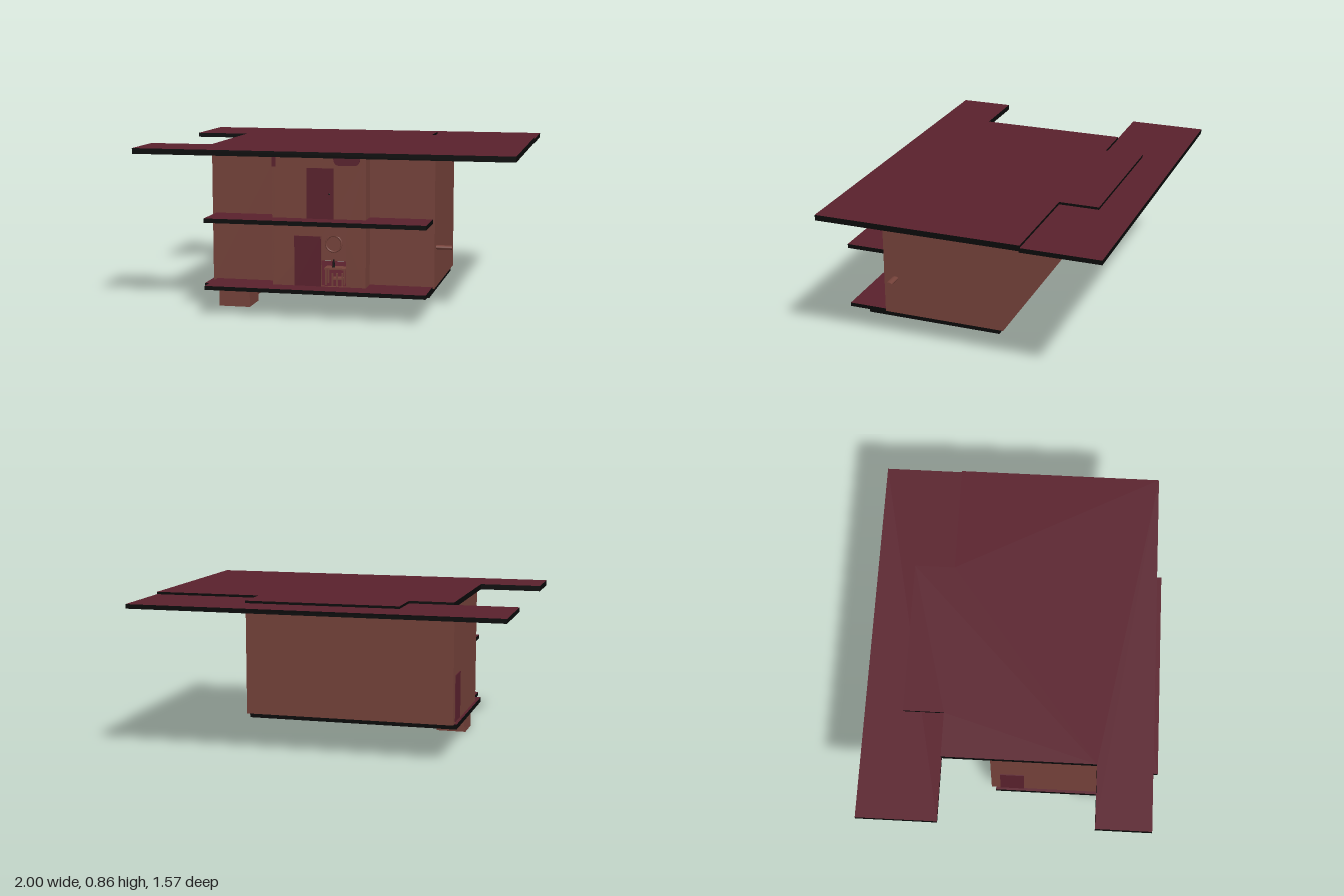
import * as THREE from 'three';

const mat = (name, color) => {
  const m = new THREE.MeshStandardMaterial({ color });
  m.name = name;
  return m;
};

export function createModel() {
  const house = new THREE.Group();
  house.name = 'house';
  const wall = mat('brown wall', 0x75423a);
  const maroon = mat('maroon', 0x5a212d);
  const black = mat('black trim', 0x0a0a0a);
  const slabMats = [black, black, maroon, maroon, black, black];

  const add = (name, geo, material, parent = house) => {
    const m = new THREE.Mesh(geo, material);
    m.name = name;
    parent.add(m);
    return m;
  };
  // Box given by its limits
  const box = (name, [x0, x1], [y0, y1], [z0, z1], material, parent) => {
    const m = add(name, new THREE.BoxGeometry(x1 - x0, y1 - y0, z1 - z0), material, parent);
    m.position.set((x0 + x1) / 2, (y0 + y1) / 2, (z0 + z1) / 2);
    return m;
  };
  const shapeOf = (pts) => new THREE.Shape(pts.map(([x, y]) => new THREE.Vector2(x, y)));

  // Flat roof: notched upper slab over a lower rear slab
  const roofShape = shapeOf([[-1, 0.44], [-0.66, 0.44], [-0.66, -0.37], [-0.42, -0.37], [-0.42, -0.585],
    [0.41, -0.585], [0.41, -0.37], [1, -0.37], [1, 0.73], [-1, 0.73]]);
  const roofGeo = new THREE.ExtrudeGeometry(roofShape, { depth: 0.03, bevelEnabled: false });
  roofGeo.rotateX(Math.PI / 2).translate(0, 0.86, 0);
  add('upperRoof', roofGeo, [maroon, black]);
  box('rearRoof', [-1, 1], [0.823, 0.847], [-0.785, -0.365], slabMats);

  // Floor, porch and balcony slabs
  box('baseSlab', [-0.63, 0.565], [0.12, 0.148], [-0.095, 0.67], slabMats);
  box('porch', [-0.595, 0.565], [0.135, 0.156], [0.565, 0.785], slabMats);
  box('balcony', [-0.595, 0.565], [0.487, 0.51], [0.565, 0.785], slabMats);
  box('upperFloor', [-0.6, 0.56], [0.487, 0.505], [-0.11, 0.565], slabMats);
  box('balconyBracket', [-0.265, -0.115], [0.472, 0.487], [0.66, 0.685], black);

  // Thin outer walls
  const t = 0.012, H = [0.147, 0.83];
  const walls = new THREE.Group();
  walls.name = 'walls';
  house.add(walls);
  box('backWall', [-0.615, 0.575], H, [-0.12, -0.12 + t], wall, walls);
  box('leftWall', [0.575 - t, 0.575], H, [-0.12, 0.567], wall, walls);
  box('rightWall', [-0.615, -0.615 + t], H, [-0.12, 0.567], wall, walls);
  box('frontWallRight', [-0.615, -0.26], H, [0.567 - t, 0.567], wall, walls);
  box('frontWallLeft', [0.235, 0.575], H, [0.567 - t, 0.567], wall, walls);

  // Entrance bay with a doorway opening on the ground floor
  box('baySideRight', [-0.26, -0.26 + t], H, [0.555, 0.67], wall, walls);
  box('baySideLeft', [0.235 - t, 0.235], H, [0.555, 0.67], wall, walls);
  const bay = shapeOf([[-0.26, H[0]], [0.235, H[0]], [0.235, H[1]], [-0.26, H[1]]]);
  bay.holes.push(new THREE.Path([[0, 0.158], [0, 0.42], [0.13, 0.42], [0.13, 0.158]]
    .map(([x, y]) => new THREE.Vector2(x, y))));
  const bayGeo = new THREE.ExtrudeGeometry(bay, { depth: t, bevelEnabled: false });
  add('bayFront', bayGeo.translate(0, 0, 0.67 - t), wall, walls);

  // Doors and knob
  box('frontDoor', [-0.142, -0.002], [0.157, 0.418], [0.668, 0.675], maroon);
  box('balconyDoor', [-0.075, 0.065], [0.51, 0.772], [0.668, 0.675], maroon);
  box('sideDoor', [-0.62, -0.613], [0.157, 0.418], [-0.07, 0.062], maroon);
  const knob = add('doorKnob', new THREE.SphereGeometry(0.005, 10, 8), black);
  knob.position.set(0.045, 0.64, 0.677);

  // Rounded hangings under the eaves
  const hanging = (x0, x1, y0) => {
    const r = 0.03, s = new THREE.Shape();
    s.moveTo(x0, 0.829);
    s.quadraticCurveTo(x0, y0, x0 + r, y0);
    s.lineTo(x1 - r, y0);
    s.quadraticCurveTo(x1, y0, x1, 0.829);
    add('eaveHanging', new THREE.ExtrudeGeometry(s, { depth: 0.005, bevelEnabled: false }), maroon)
      .position.z = 0.669;
  };
  hanging(0.065, 0.205, 0.787);
  box('eaveCorner', [-0.26, -0.24], [0.775, 0.829], [0.669, 0.674], maroon);

  // Steps, cut away beneath the floor
  const steps = [[0.54, 0], [0.37, 0]];
  [0.37, 0.33, 0.287].forEach((z, i, a) => {
    const y = 0.036 * (i + 1);
    steps.push([z, y], [a[i + 1] ?? 0.245, y]);
  });
  steps.push([0.245, 0.125], [0.54, 0.125]);
  const stepGeo = new THREE.ExtrudeGeometry(shapeOf(steps), { depth: 0.17, bevelEnabled: false });
  stepGeo.rotateY(-Math.PI / 2).translate(-0.425, 0, 0);
  add('steps', stepGeo, wall);

  // Oval spout on the side wall
  const spout = add('wallSpout', new THREE.CylinderGeometry(0.018, 0.018, 0.085, 20), wall);
  spout.rotation.z = Math.PI / 2;
  spout.scale.x = 0.6;
  spout.position.set(0.615, 0.356, 0.503);

  // Small table, chair and wall ring inside the doorway
  const hall = new THREE.Group();
  hall.name = 'hallFurniture';
  house.add(hall);
  box('tableTop', [0.005, 0.12], [0.238, 0.246], [0.56, 0.63], wall, hall);
  for (const x of [0.01, 0.107]) for (const z of [0.565, 0.617])
    box('tableLeg', [x, x + 0.008], [0.15, 0.238], [z, z + 0.008], wall, hall);
  box('chairSeat', [0.05, 0.11], [0.19, 0.198], [0.6, 0.65], wall, hall);
  for (const x of [0.05, 0.075, 0.102])
    box('chairSlat', [x, x + 0.008], [0.15, 0.225], [0.642, 0.65], wall, hall);
  const candle = add('candle', new THREE.CylinderGeometry(0.004, 0.008, 0.04, 10), black, hall);
  candle.position.set(0.05, 0.266, 0.6);
  const ring = add('wallRing', new THREE.TorusGeometry(0.042, 0.005, 8, 24), wall, hall);
  ring.position.set(0.05, 0.37, 0.6);
  return house;
}
